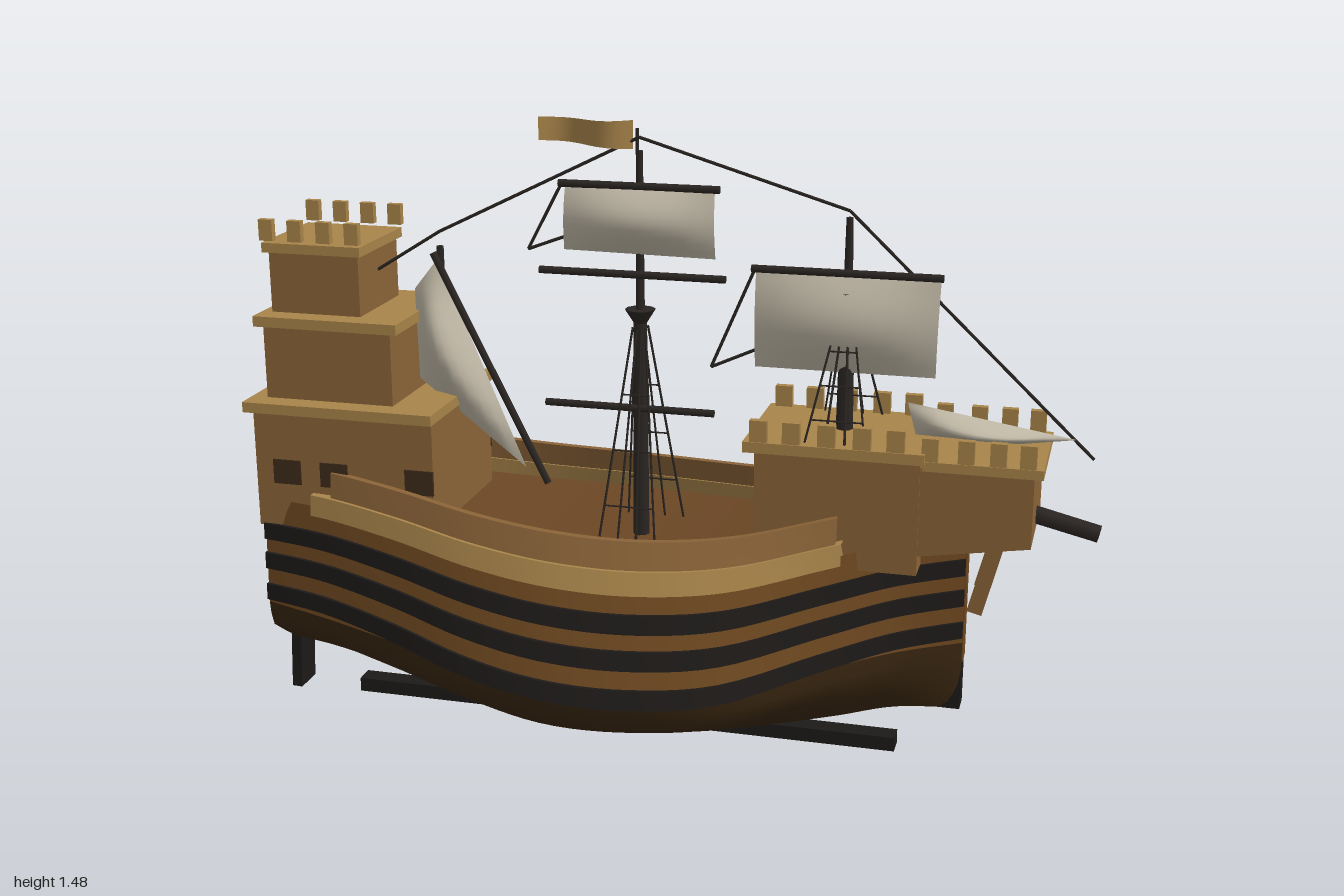
import * as THREE from 'three';
import { toCreasedNormals } from 'three/addons/utils/BufferGeometryUtils.js';

const mat = (color) => new THREE.MeshStandardMaterial({ color, side: THREE.DoubleSide });
const M = {
  plank: mat(0x6e4820), dark: mat(0x3a2711), deck: mat(0x6a4624), black: mat(0x1d1a18),
  wall: mat(0x8a6338), trim: mat(0xa8844a), spar: mat(0x2a2522), sail: mat(0xc0b8a6), window: mat(0x3d2a1a),
};

// Hull stations: x, widest half-width, its height, sheer half-width, sheer height, keel height, bottom edge z (+z side, -z side)
const STATIONS = [
  [-0.97, 0.20, 0.30, 0.19, 0.565, 0.14, 0.04, 0.06],
  [-0.80, 0.245, 0.29, 0.215, 0.56, 0.12, 0.05, 0.10],
  [-0.60, 0.315, 0.28, 0.26, 0.54, 0.085, 0.06, 0.15],
  [-0.40, 0.395, 0.27, 0.315, 0.515, 0.05, 0.07, 0.17],
  [-0.20, 0.445, 0.26, 0.35, 0.50, 0.02, 0.07, 0.18],
  [0.00, 0.44, 0.26, 0.345, 0.495, 0.02, 0.07, 0.19],
  [0.20, 0.385, 0.265, 0.295, 0.505, 0.045, 0.07, 0.20],
  [0.40, 0.225, 0.28, 0.185, 0.535, 0.09, 0.06, 0.16],
  [0.55, 0.105, 0.29, 0.09, 0.555, 0.125, 0.04, 0.07],
  [0.70, 0.03, 0.30, 0.03, 0.57, 0.13, 0.02, 0.02],
];

// Smooth interpolation of a station, t in 0..1
function station(t) {
  const n = STATIONS.length - 1, f = Math.min(t, 0.99999) * n, i = Math.floor(f), u = f - i;
  const at = (k) => STATIONS[Math.max(0, Math.min(n, k))];
  const [x, w, yw, top, sheer, keel, edgeL, edgeR] = STATIONS[0].map((_, c) => {
    const [a, b, d, e] = [at(i - 1)[c], at(i)[c], at(i + 1)[c], at(i + 2)[c]];
    return b + 0.5 * u * (d - a + u * (2 * a - 5 * b + 4 * d - e + u * (3 * (b - d) + e - a)));
  });
  const wallZ = (y) => w + (top - w) * (y - yw) / (sheer - yw);
  return { x, w, yw, top, sheer, keel, edgeL, edgeR, wallZ };
}

// Skin over rows of [x, y, z] points
function loft(rows, closed = false) {
  const m = rows[0].length, idx = [], cols = closed ? m : m - 1;
  for (let i = 0; i < rows.length - 1; i++) for (let j = 0; j < cols; j++) {
    const k = (j + 1) % m, a = i * m + j, b = i * m + k;
    idx.push(a, a + m, b, b, a + m, b + m);
  }
  const g = new THREE.BufferGeometry();
  g.setAttribute('position', new THREE.Float32BufferAttribute(rows.flat(2), 3));
  g.setIndex(idx);
  g.computeVertexNormals();
  return g;
}

// Rows along the hull; section(s) gives [y, z] pairs
function along(t0, t1, section, n = 48) {
  return Array.from({ length: n + 1 }, (_, i) => {
    const s = station(t0 + (t1 - t0) * i / n);
    return section(s).map(([y, z]) => [s.x, y, z]);
  });
}

export function createModel() {
  const ship = new THREE.Group();
  ship.name = 'sailingShip';
  const add = (name, geo, m, parent = ship) => {
    const mesh = new THREE.Mesh(geo, m);
    mesh.name = name;
    parent.add(mesh);
    return mesh;
  };
  const group = (name) => {
    const g = new THREE.Group();
    g.name = name;
    ship.add(g);
    return g;
  };
  // Box from its limits in x and y, with its depth centred on zc
  const box = (name, x0, x1, y0, y1, depth, m, parent, zc = 0) => {
    const b = add(name, new THREE.BoxGeometry(x1 - x0, y1 - y0, depth), m, parent);
    b.position.set((x0 + x1) / 2, (y0 + y1) / 2, zc);
    return b;
  };
  // Round bar between two points
  const rod = (name, a, b, r0, r1 = r0, parent = ship, sides = 8) => {
    const A = new THREE.Vector3(...a), B = new THREE.Vector3(...b), d = B.clone().sub(A);
    const r = add(name, new THREE.CylinderGeometry(r1, r0, d.length(), sides), M.spar, parent);
    r.position.copy(A).addScaledVector(d, 0.5);
    r.quaternion.setFromUnitVectors(new THREE.Vector3(0, 1, 0), d.normalize());
    return r;
  };

  // Hull sides with wales, rim and bulwark
  const hull = group('hull');
  const lower = (s, side) => {
    const z0 = side > 0 ? s.edgeL : s.edgeR;
    const y0 = side > 0 ? s.keel : s.keel + 0.55 * Math.max(0, s.edgeR - s.edgeL);
    const z1 = s.w * 0.91, y1 = s.keel + (s.yw - s.keel) * 0.58;
    return [[y0, z0], [(y0 + y1) / 2 - 0.004, (z0 + z1) / 2], [y1, z1], [(y1 + s.yw) / 2, s.w * 0.975], [s.yw, s.w]]
      .map(([y, z]) => [y, z * side]);
  };
  const upper = (s, side) => [0, 0.25, 0.5, 0.75, 1].map((u) => {
    const y = s.yw + (s.sheer - s.yw) * u;
    return [y, s.wallZ(y) * side];
  });
  const strip = (t0, t1, y0, y1, out, inn, side) => toCreasedNormals(loft(along(t0, t1, (s) => {
    const a = s.sheer + y0, b = s.sheer + y1;
    return [[a, s.wallZ(a) + out], [b, s.wallZ(b) + out], [b, s.wallZ(b) - inn], [a, s.wallZ(a) - inn]]
      .map(([y, z]) => [y, z * side]);
  }), true), 0.6);
  for (const side of [1, -1]) {
    add('lowerHull', loft(along(0, 1, (s) => lower(s, side))), M.dark, hull);
    add('upperHull', loft(along(0, 1, (s) => upper(s, side))), M.plank, hull);
    for (const y of [-0.08, -0.155, -0.235]) add('wale', strip(0, 1, y - 0.02, y + 0.02, 0.011, -0.002, side), M.black, hull);
    add('rim', strip(0.09, 0.8, -0.02, 0.03, 0.012, 0.02, side), M.trim, hull);
    add('bulwark', strip(0.12, 0.79, 0.03, 0.09, 0.003, 0.015, side), M.wall, hull);
  }
  add('deck', loft(along(0, 1, (s) => [-1, 0, 1].map((k) => [s.sheer - 0.01, k * s.top]))), M.deck, hull);
  const s0 = station(0);
  const ends = [1, -1].map((side) => [...lower(s0, side), ...upper(s0, side)].map(([y, z]) => [s0.x, y, z]));
  add('transom', loft(ends), M.plank, hull);
  box('stem', 0.66, 0.702, 0.25, 0.58, 0.055, M.plank, hull);
  box('stemFoot', 0.66, 0.70, 0.13, 0.25, 0.055, M.black, hull);
  box('keel', -0.82, 0.55, 0, 0.035, 0.05, M.black, hull);
  box('rudder', -0.998, -0.972, 0, 0.24, 0.08, M.black, hull).rotation.z = -0.04;

  // Stern castle: three stacked tiers
  const stern = group('sternCastle');
  box('lowerTier', -0.98, -0.53, 0.5, 0.79, 0.40, M.wall, stern);
  box('lowerLedge', -1, -0.525, 0.785, 0.81, 0.43, M.trim, stern);
  box('middleTier', -0.96, -0.64, 0.81, 0.99, 0.32, M.wall, stern);
  box('middleLedge', -0.98, -0.62, 0.985, 1.01, 0.345, M.trim, stern);
  box('upperTier', -0.955, -0.73, 1.01, 1.16, 0.235, M.wall, stern);
  box('upperLedge', -0.967, -0.72, 1.155, 1.178, 0.26, M.trim, stern);
  for (const z of [-0.13, 0.13]) for (const x of [-0.95, -0.878, -0.806, -0.735])
    box('merlon', x - 0.017, x + 0.017, 1.185, 1.235, 0.018, M.trim, stern, z);
  for (const z of [-0.2, 0.2]) for (const x of [-0.90, -0.78, -0.565])
    box('sideWindow', x - 0.035, x + 0.035, 0.61, 0.67, 0.008, M.window, stern, z);
  for (const z of [-0.12, 0, 0.12]) box('sternWindow', -0.984, -0.976, 0.61, 0.67, 0.06, M.window, stern, z);

  // Forecastle with an overhanging beak
  const fore = group('forecastle');
  box('forecastleBox', 0.225, 0.6, 0.5, 0.77, 0.29, M.wall, fore);
  box('forecastleLedge', 0.2, 0.61, 0.765, 0.79, 0.32, M.trim, fore);
  const beak = new THREE.BoxGeometry(0.25, 0.21, 0.28);
  const bp = beak.attributes.position;
  for (let i = 0; i < bp.count; i++) if (bp.getX(i) > 0 && bp.getY(i) < 0) bp.setY(i, -0.065);
  beak.computeVertexNormals();
  add('beak', beak, M.wall, fore).position.set(0.725, 0.65, 0);
  box('beakLedge', 0.605, 0.87, 0.75, 0.772, 0.30, M.trim, fore);
  for (const z of [-0.148, 0.148]) {
    for (const x of [0.235, 0.31, 0.39, 0.47, 0.545]) box('merlon', x - 0.02, x + 0.02, 0.79, 0.84, 0.018, M.trim, fore, z);
    for (const x of [0.62, 0.70, 0.77, 0.835]) box('merlon', x - 0.018, x + 0.018, 0.772, 0.825, 0.018, M.trim, fore, z * 0.94);
  }
  for (const z of [-0.083, 0.083]) box('knee', 0.735, 0.77, 0.40, 0.59, 0.025, M.wall, fore, z).rotation.z = -0.25;
  rod('bowsprit', [0.68, 0.66, 0], [0.992, 0.585, 0], 0.022, 0.021);

  // Masts with tops, shrouds and ratlines
  function mast(name, x, base, nest, top) {
    const g = group(name);
    rod('lowerMast', [x, base, 0], [x, nest, 0], 0.02, 0.016, g);
    rod('topMast', [x, nest, 0], [x, top, 0], 0.011, 0.008, g);
    rod('crowsNest', [x, nest - 0.02, 0], [x, nest + 0.012, 0], 0.016, 0.036, g, 10);
    for (const side of [1, -1]) {
      const at = (k, u) => [x + k * (0.015 + 0.055 * u), nest - 0.03 + (base - nest + 0.03) * u, side * (0.012 + 0.123 * u)];
      for (const k of [-1, -0.33, 0.33, 1]) rod('shroud', at(k, 0), at(k, 1), 0.003, 0.003, g, 4);
      for (const u of [0.3, 0.55, 0.8]) rod('ratline', at(-1, u), at(1, u), 0.002, 0.002, g, 4);
    }
  }
  mast('mainMast', -0.08, 0.49, 1.03, 1.41);
  mast('foreMast', 0.405, 0.78, 1.10, 1.28);
  rod('mizzenMast', [-0.57, 0.8, 0], [-0.57, 1.165, 0], 0.012, 0.009);
  rod('mizzenTop', [-0.57, 1.02, 0], [-0.57, 1.04, 0], 0.012, 0.028, ship, 10);
  const yards = [[-0.27, 0.11, 1.33], [-0.32, 0.125, 1.125], [-0.31, 0.10, 0.805], [0.185, 0.62, 1.155]];
  for (const [x0, x1, y] of yards) rod('yard', [x0, y, 0.012], [x1, y, 0.012], 0.009);
  rod('lateenYard', [-0.585, 1.15, 0.01], [-0.31, 0.60, 0.01], 0.009);

  // Sails: bilinear patches (corners a, b along the top, c, d below) bulging to +z
  function sail(name, a, b, c, d, edge, depth, n = 10) {
    const rows = [];
    for (let i = 0; i <= n; i++) {
      const row = [];
      for (let j = 0; j <= n; j++) {
        const u = j / n, v = i / n;
        const p = [0, 1].map((k) => (1 - v) * (a[k] + (b[k] - a[k]) * u) + v * (c[k] + (d[k] - c[k]) * u));
        row.push([...p, 0.008 + depth * Math.sin(Math.PI * v) * (edge + (1 - edge) * Math.sin(Math.PI * u))]);
      }
      rows.push(row);
    }
    add(name, loft(rows), M.sail);
  }
  sail('mainTopsail', [-0.255, 1.33], [0.098, 1.33], [-0.26, 1.175], [0.10, 1.17], 0.25, 0.047);
  sail('foreSail', [0.195, 1.155], [0.615, 1.155], [0.195, 0.925], [0.61, 0.925], 0.25, 0.047);
  sail('lateenSail', [-0.635, 1.06], [-0.575, 1.135], [-0.63, 0.84], [-0.365, 0.635], 0, 0.06);
  sail('jib', [0.55, 0.865], [0.93, 0.805], [0.57, 0.79], [0.80, 0.785], 0, 0.06);

  // Stays and sheets
  const rigging = group('rigging');
  const line = (...pts) => pts.slice(1).forEach((p, i) => rod('rope', [...pts[i], 0], [...p, 0], 0.004, 0.004, rigging, 5));
  line([-0.73, 1.10], [-0.57, 1.20], [-0.08, 1.44], [0.405, 1.295], [0.97, 0.76]);
  line([-0.265, 1.33], [-0.35, 1.17], [-0.23, 1.215]);
  line([0.19, 1.15], [0.09, 0.915], [0.21, 0.97]);

  // Waving pennant
  const flag = Array.from({ length: 17 }, (_, i) => {
    const u = i / 16, x = -0.095 - 0.225 * u, z = 0.02 * Math.sin(u * Math.PI * 2);
    return [[x, 1.412 + 0.012 * u, z], [x, 1.478 - 0.012 * u * (1 - u), z]];
  });
  add('pennant', loft(flag), M.trim);
  rod('flagStaff', [-0.085, 1.40, 0], [-0.085, 1.46, 0], 0.004);
  return ship;
}
